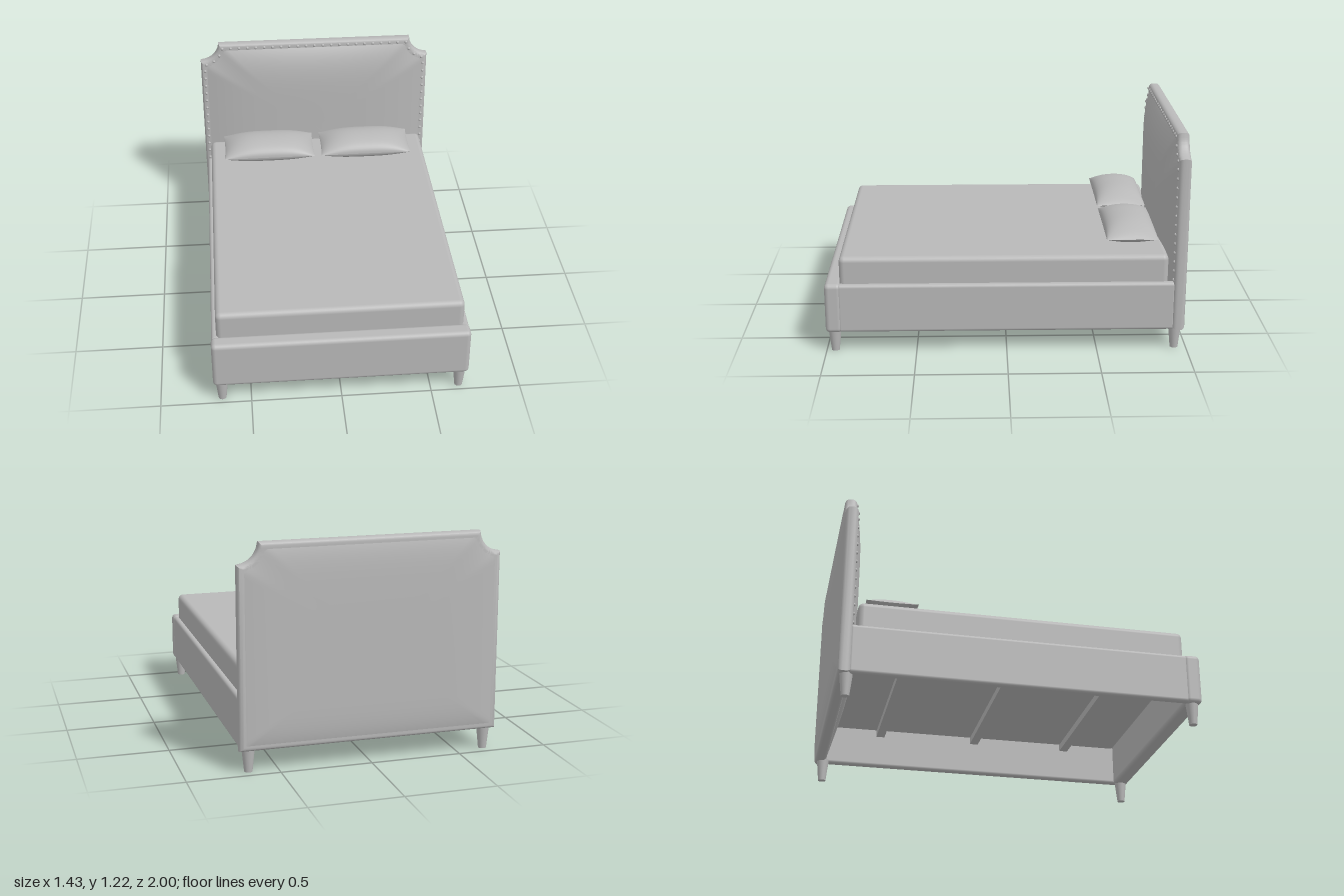
import * as THREE from 'three';
import { toCreasedNormals } from 'three/addons/utils/BufferGeometryUtils.js';
import { RoundedBoxGeometry } from 'three/addons/geometries/RoundedBoxGeometry.js';

const upholstery = new THREE.MeshStandardMaterial({ color: 0xb8b8b8 });
upholstery.name = 'grey upholstery';

function add(parent, name, geometry, x = 0, y = 0, z = 0) {
  const mesh = new THREE.Mesh(geometry, upholstery);
  mesh.name = name;
  mesh.position.set(x, y, z);
  parent.add(mesh);
  return mesh;
}

// Box given by its limits, with soft edges
function softBox(parent, name, [x0, x1], [y0, y1], [z0, z1], radius) {
  const g = new RoundedBoxGeometry(x1 - x0, y1 - y0, z1 - z0, 5, radius);
  return add(parent, name, g, (x0 + x1) / 2, (y0 + y1) / 2, (z0 + z1) / 2);
}

// Headboard outline with scooped corners, moved inward by d, anticlockwise
function outline(d, bottom, PathType = THREE.Shape) {
  const w = 0.715, top = 1.217, r = 0.113 + d, a = Math.asin(d / r);
  const p = new PathType();
  p.moveTo(w - d, bottom);
  p.lineTo(w - d, top - r * Math.cos(a));
  p.absarc(w, top, r, -Math.PI / 2 - a, -Math.PI + a, true);
  p.absarc(-w, top, r, -a, -Math.PI / 2 + a, true);
  p.lineTo(-w + d, bottom);
  return p;
}

// Domed panel made of shrinking rings of the outline; side is +1 front, -1 back
function dome(d, bottom, side, height) {
  const shape = outline(d, bottom);
  shape.closePath();
  const pts = shape.getSpacedPoints(200).slice(0, -1);
  const n = pts.length, rings = 16, cy = 0.64;
  const pos = [], index = [];
  for (let i = 0; i <= rings; i++) {
    const s = 1 - Math.pow(i / rings, 1.4);
    for (const p of pts) {
      const x = p.x * s, y = cy + (p.y - cy) * s;
      pos.push(x, y, side * height(s, x));
    }
  }
  for (let i = 0; i < rings; i++) {
    for (let j = 0; j < n; j++) {
      const a = i * n + j, b = i * n + (j + 1) % n, c = a + n, e = b + n;
      if (side > 0) index.push(a, b, e, a, e, c);
      else index.push(a, e, b, a, c, e);
    }
  }
  const g = new THREE.BufferGeometry();
  g.setAttribute('position', new THREE.Float32BufferAttribute(pos, 3));
  g.setIndex(index);
  g.computeVertexNormals();
  return g;
}

// Stuffed pillow: two puffed faces meeting at a pinched rectangular seam
function pillowGeometry(halfX, halfZ, up, down) {
  const n = 24, pos = [], index = [];
  for (const side of [1, -1]) {
    const base = pos.length / 3;
    for (let i = 0; i <= n; i++) {
      for (let j = 0; j <= n; j++) {
        const u = -Math.cos(Math.PI * i / n), v = -Math.cos(Math.PI * j / n);
        const puff = Math.max(0, 1 - Math.abs(u) ** 3) ** 0.8 * Math.max(0, 1 - v * v) ** 0.45;
        const x = u * halfX * (1 - 0.02 * (1 - v * v));
        const z = v * halfZ * (1 - 0.02 * (1 - u * u));
        pos.push(x, side > 0 ? up * puff : -down * puff, z);
        if (i < n && j < n) {
          const a = base + i * (n + 1) + j, b = a + 1, c = a + n + 1, e = c + 1;
          if (side > 0) index.push(a, b, e, a, e, c);
          else index.push(a, e, b, a, c, e);
        }
      }
    }
  }
  const g = new THREE.BufferGeometry();
  g.setAttribute('position', new THREE.Float32BufferAttribute(pos, 3));
  g.setIndex(index);
  g.computeVertexNormals();
  return g;
}

export function createModel() {
  const bed = new THREE.Group();
  bed.name = 'bed';

  // Headboard: rounded frame, padded front, slightly full back
  const headboard = new THREE.Group();
  headboard.name = 'headboard';
  bed.add(headboard);
  const frame = new THREE.ExtrudeGeometry(outline(0.025, 0.145), {
    depth: 0.02, bevelThickness: 0.025, bevelSize: 0.025, bevelSegments: 5, curveSegments: 14,
  });
  add(headboard, 'headboardFrame', toCreasedNormals(frame, 0.7), 0, 0, -0.96);
  add(headboard, 'headboardPadding', dome(0.035, 0.15, 1,
    (s, x) => 0.06 * (1 - s ** 6) * (1 - 0.5 * (x / 0.68) ** 2)), 0, 0, -0.916);
  add(headboard, 'headboardBack', dome(0.03, 0.15, -1, s => 0.016 * (1 - s ** 8)), 0, 0, -0.984);

  // Studs follow the outline up the sides and across the top
  const studs = new THREE.Group();
  studs.name = 'headboardStuds';
  headboard.add(studs);
  const studGeometry = new THREE.SphereGeometry(0.0095, 10, 8);
  for (const p of outline(0.025, 0.41, THREE.Path).getSpacedPoints(54)) {
    add(studs, 'stud', studGeometry, p.x, p.y, -0.916);
  }

  // Footboard, side rails and cross slats
  softBox(bed, 'footboard', [-0.707, 0.707], [0.115, 0.4], [0.908, 1], 0.025);
  for (const s of [-1, 1]) {
    const rail = softBox(bed, s > 0 ? 'leftRail' : 'rightRail',
      [-0.023, 0.023], [0.118, 0.396], [-0.93, 0.93], 0.018);
    rail.position.x = s * 0.681;
  }
  for (const z of [-0.59, 0, 0.58]) {
    add(bed, 'slat', new THREE.BoxGeometry(1.33, 0.045, 0.05), 0, 0.332, z);
  }

  // Mattress, its lower edge sunk between the rails
  softBox(bed, 'mattress', [-0.677, 0.677], [0.35, 0.547], [-0.888, 0.918], 0.03);

  // Pillows
  const pillow = pillowGeometry(0.283, 0.143, 0.078, 0.06);
  add(bed, 'rightPillow', pillow, -0.31, 0.603, -0.698);
  add(bed, 'leftPillow', pillow, 0.297, 0.603, -0.698);

  // Tapered legs
  const leg = new THREE.CylinderGeometry(0.036, 0.022, 0.13, 20);
  for (const x of [-0.66, 0.66]) {
    add(bed, 'frontLeg', leg, x, 0.065, 0.952);
    add(bed, 'backLeg', leg, x, 0.065, -0.935);
  }
  return bed;
}
